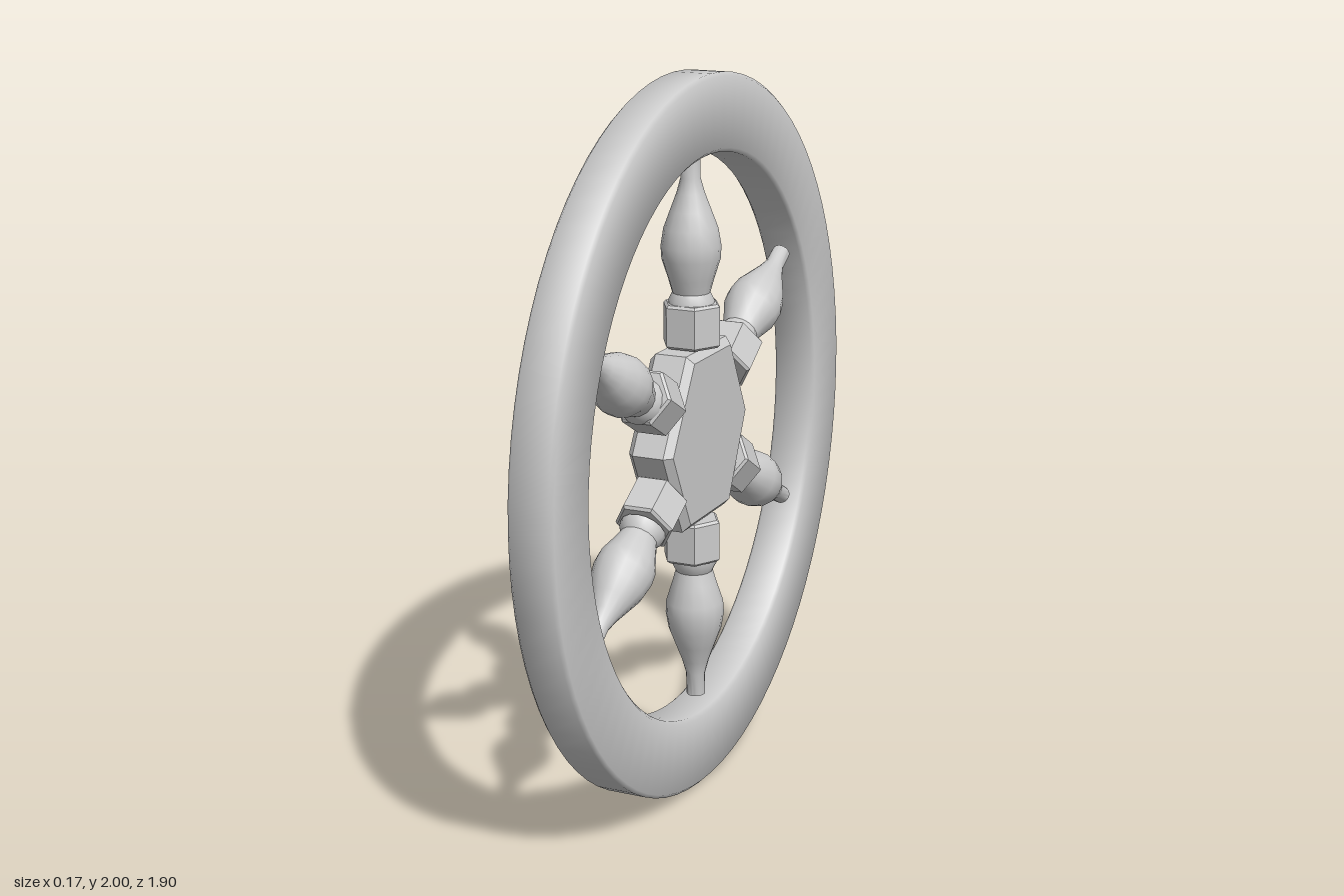
import * as THREE from 'three';
import { toCreasedNormals } from 'three/addons/utils/BufferGeometryUtils.js';

const grey = new THREE.MeshStandardMaterial({ color: 0xcccccc });
const vec = (pts) => pts.map(([a, b]) => new THREE.Vector2(a, b));

function part(name, geometry, crease = 0.5) {
  const mesh = new THREE.Mesh(toCreasedNormals(geometry, crease), grey);
  mesh.name = name;
  return mesh;
}

// Flat ring with softly worn edges, turned about the x axis
function makeRim() {
  const R = 1, r = 0.787, h = 0.063, b = 0.01;
  const profile = vec([
    [R - b, -h], [R, b - h], [R, h - b], [R - b, h],
    [r + b, h], [r, h - b], [r, b - h], [r + b, -h], [R - b, -h],
  ]);
  const g = new THREE.LatheGeometry(profile, 80);
  g.rotateZ(Math.PI / 2).scale(1, 1, 0.95).translate(-0.008, 1, 0);
  return part('rim', g, 0.9);
}

// Slightly uneven six-sided block with chamfered edges
function makeHub() {
  const corners = [[-0.286, 1.016], [-0.164, 0.777], [0.122, 0.777],
    [0.244, 1.03], [0.127, 1.262], [-0.138, 1.262]];
  const g = new THREE.ExtrudeGeometry(new THREE.Shape(vec(corners)), {
    depth: 0.09, bevelEnabled: true, bevelThickness: 0.02,
    bevelSize: 0.02, bevelOffset: -0.02, bevelSegments: 1,
  });
  g.rotateY(Math.PI / 2).translate(-0.053, 0, 0);
  return part('hub', g, 0.3);
}

// Hexagonal collar, its axis along y, with small chamfers
function makeCollar() {
  const g = new THREE.LatheGeometry(vec([
    [0, -0.06], [0.076, -0.06], [0.084, -0.053],
    [0.084, 0.053], [0.076, 0.06], [0, 0.06],
  ]), 6);
  g.rotateY(Math.PI / 6 * 3);
  return part('collar', g, 0.3);
}

// Turned spindle running from y = 0 to y = 1, stretched to length later
function makeSpindle(length) {
  const profile = vec([
    [0, -0.03], [0.064, -0.03], [0.062, 0.01], [0.052, 0.06], [0.062, 0.15],
    [0.08, 0.29], [0.082, 0.38], [0.074, 0.5], [0.056, 0.62],
    [0.038, 0.74], [0.027, 0.84], [0.026, 1], [0, 1],
  ]);
  const g = new THREE.LatheGeometry(profile, 16);
  g.scale(1, length, 1);
  return part('spindle', g, 0.7);
}

// Each spoke: collar centre, spindle foot and spindle tip as [z, y]
const spokes = [
  { name: 'topSpoke', collar: [0.02, 1.325], foot: [0.022, 1.39], tip: [0.028, 1.79] },
  { name: 'upperFrontSpoke', collar: [0.286, 1.17], foot: [0.345, 1.19], tip: [0.66, 1.378] },
  { name: 'lowerFrontSpoke', collar: [0.281, 0.867], foot: [0.342, 0.826], tip: [0.647, 0.618] },
  { name: 'bottomSpoke', collar: [0.02, 0.714], foot: [0.004, 0.64], tip: [-0.008, 0.24] },
  { name: 'lowerBackSpoke', collar: [-0.228, 0.867], foot: [-0.286, 0.83], tip: [-0.637, 0.65] },
  { name: 'upperBackSpoke', collar: [-0.233, 1.186], foot: [-0.29, 1.22], tip: [-0.615, 1.403] },
];

function makeSpoke({ name, collar, foot, tip }) {
  const group = new THREE.Group();
  group.name = name;
  // Rotation about x that swings +y towards the given direction in the wheel plane
  const swing = (a, b) => Math.atan2(b[0] - a[0], b[1] - a[1]);
  const nut = makeCollar();
  nut.position.set(0, collar[1], collar[0]);
  nut.rotation.x = swing([0.02, 1.018], collar);
  const spindle = makeSpindle(Math.hypot(tip[0] - foot[0], tip[1] - foot[1]));
  spindle.position.set(0, foot[1], foot[0]);
  spindle.rotation.x = swing(foot, tip);
  group.add(nut, spindle);
  return group;
}

export function createModel() {
  const wheel = new THREE.Group();
  wheel.name = 'spokedWheel';
  wheel.add(makeRim(), makeHub(), ...spokes.map(makeSpoke));
  return wheel;
}
